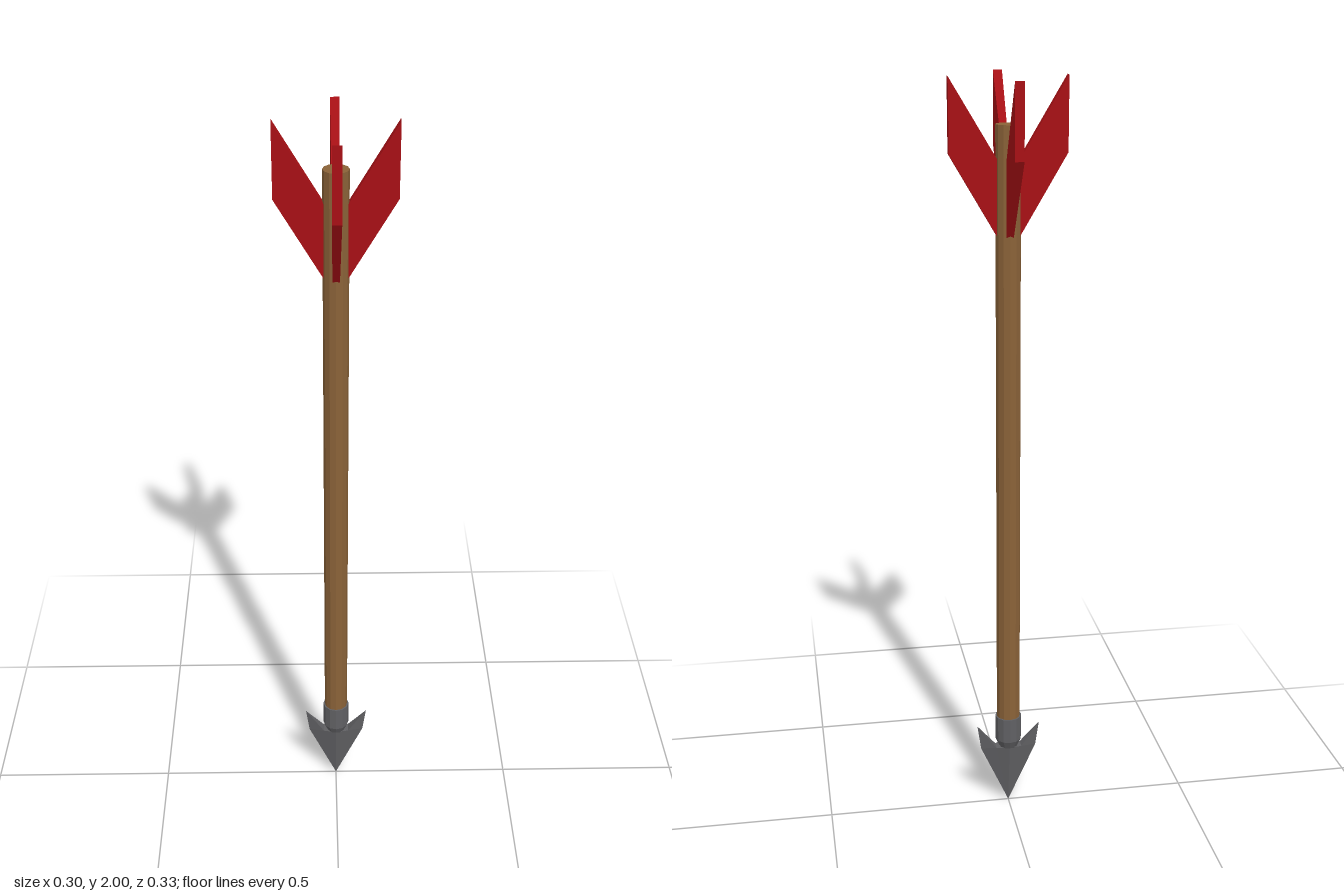
import * as THREE from 'three';

const mat = (color) => new THREE.MeshStandardMaterial({ color, flatShading: true });

// Bladed head: one quarter, mirrored across x and z
function headGeometry() {
  const T = [0, 0, 0], E = [0.077, 0.17, 0], B = [0.087, 0.24, 0];
  const I = [0.035, 0.175, 0.014], C = [0, 0.18, 0.026];
  const M = [0.035, 0.175, 0], O = [0, 0.18, 0];
  const faces = [[T, E, I], [T, I, C], [E, B, I], [I, B, M], [C, I, M], [C, M, O]];
  const pos = [];
  for (const sx of [1, -1]) for (const sz of [1, -1]) {
    for (const f of faces) {
      const corners = sx * sz > 0 ? f : [f[0], f[2], f[1]];
      for (const [x, y, z] of corners) pos.push(x * sx, y, z * sz);
    }
  }
  const g = new THREE.BufferGeometry();
  g.setAttribute('position', new THREE.Float32BufferAttribute(pos, 3));
  g.computeVertexNormals();
  return g;
}

// Swept-back feather: a slanted slab, slightly thicker at its outer edge
function featherGeometry(reach) {
  const inner = 0.025, g = new THREE.BoxGeometry(1, 1, 1), p = g.attributes.position;
  for (let i = 0; i < p.count; i++) {
    const out = p.getX(i) > 0, top = p.getY(i) > 0;
    p.setXYZ(i, out ? reach : inner,
      out ? (top ? 2 : 1.815) : (top ? 1.795 : 1.605),
      Math.sign(p.getZ(i)) * (out ? 0.0115 : 0.009));
  }
  g.computeVertexNormals();
  return g;
}

export function createModel() {
  const group = new THREE.Group();
  const wood = mat(0x8a6238), steel = mat(0x606063), red = mat(0xa81015);
  const add = (name, geometry, material) => {
    const mesh = new THREE.Mesh(geometry, material);
    mesh.name = name;
    group.add(mesh);
    return mesh;
  };

  add('shaft', new THREE.CylinderGeometry(0.032, 0.032, 1.65, 12), wood).position.y = 1.06;

  // Metal socket narrowing into the head
  const socket = [[0, 0.165], [0.02, 0.165], [0.036, 0.2], [0.036, 0.27], [0, 0.27]];
  add('socket', new THREE.LatheGeometry(socket.map(([x, y]) => new THREE.Vector2(x, y)), 12), steel);
  add('arrowhead', headGeometry(), steel);

  // Four feathers around the shaft
  for (let i = 0; i < 4; i++) {
    add('feather' + (i + 1), featherGeometry(i % 2 ? 0.163 : 0.148), red).rotation.y = i * Math.PI / 2;
  }
  return group;
}
